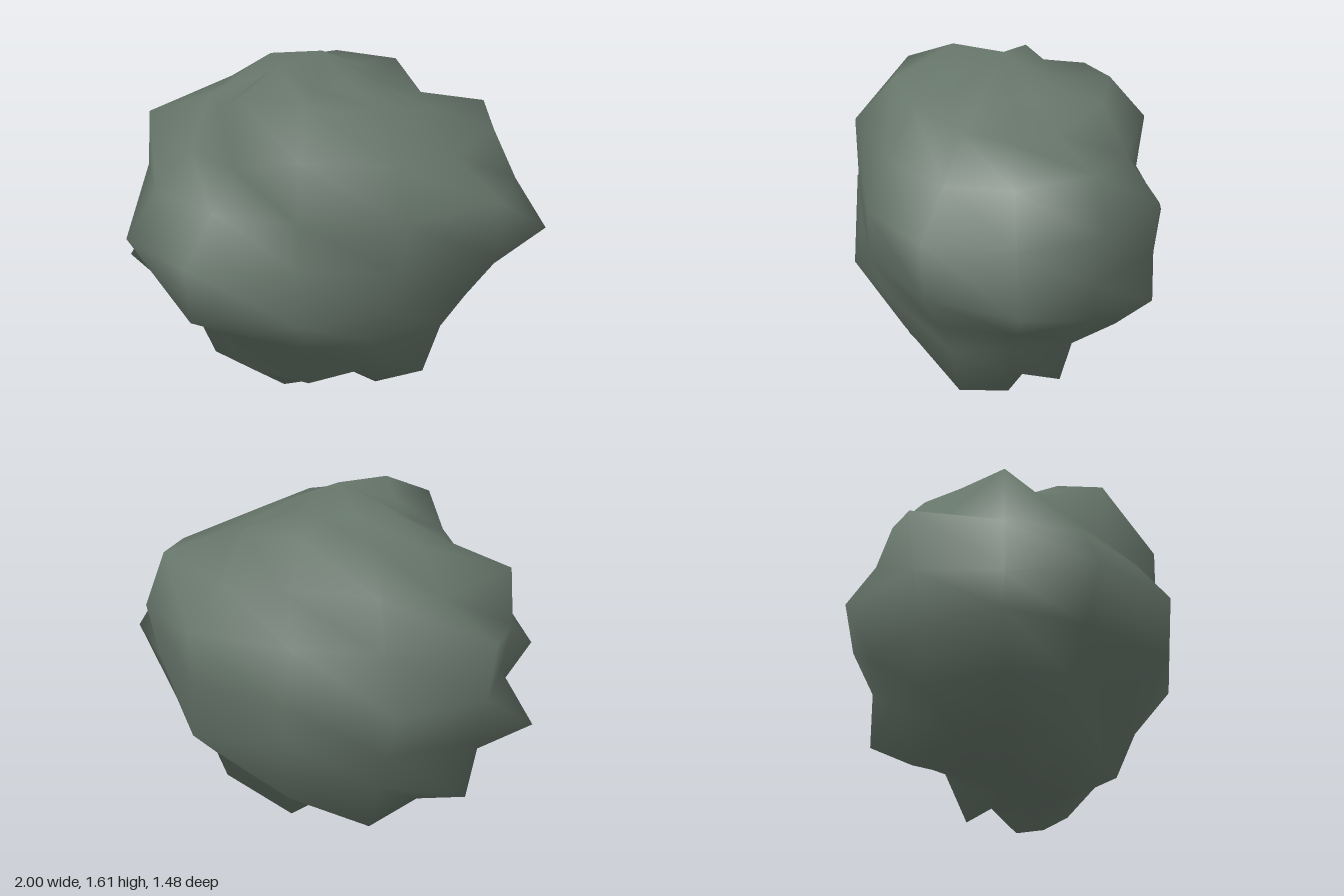
import * as THREE from 'three';
import { mergeVertices } from 'three/addons/utils/BufferGeometryUtils.js';

const SIDES = 12;
const CENTRE = new THREE.Vector3(-0.05, 0.8, 0.02);
const SCALE = new THREE.Vector3(1, 0.82, 0.815);

// Radius of the rock on each ring from top to bottom;
// each ring starts at +x and turns through +z, -x and -z
const RINGS = [
  [0.988],
  [0.88, 0.9, 0.91, 0.88, 1.03, 0.92, 0.88, 0.97, 0.92, 0.9, 0.9, 0.86],
  [0.85, 0.91, 1, 1.05, 1.05, 0.87, 0.88, 0.92, 0.98, 1.025, 1.01, 0.86],
  [0.977, 0.9, 0.95, 1.04, 0.79, 0.81, 1.013, 0.83, 0.95, 1, 0.92, 1.04],
  [0.945, 1.04, 0.94, 0.88, 0.86, 0.87, 0.88, 1.045, 0.9, 0.81, 0.99, 0.985],
  [1.05, 0.97, 0.89, 0.83, 1.01, 0.98, 0.79, 0.95, 1.02, 0.933, 0.92, 0.88],
  [0.84, 0.85, 0.83, 0.93, 1.03, 0.87, 1, 0.9, 0.92, 0.85, 0.975, 0.85],
  [0.78, 0.84, 0.85, 0.86, 0.85, 0.81, 0.86, 1.04, 0.9, 1, 0.88, 0.82],
  [0.87, 1, 0.9, 0.975, 0.95, 0.96, 0.88, 0.92, 1.03, 0.82, 0.8, 0.96],
  [1.025, 1.025, 0.9, 0.96, 1.02, 0.9, 0.88, 0.88, 0.88, 0.88, 1.02, 0.9],
  [0.87],
];

export function createModel() {
  const group = new THREE.Group();
  const stone = new THREE.MeshStandardMaterial({ color: 0x66756a });
  stone.name = 'mossy grey stone';

  // Coarse sphere, each corner pushed in or out along its own direction
  const sphere = new THREE.SphereGeometry(1, SIDES, RINGS.length - 1);
  const pos = sphere.attributes.position;
  const corner = new THREE.Vector3();
  RINGS.forEach((ring, row) => {
    for (let col = 0; col <= SIDES; col++) {
      const i = row * (SIDES + 1) + col;
      // the sphere's columns start at -x and turn the other way
      const step = (SIDES * 1.5 - col) % SIDES;
      corner.fromBufferAttribute(pos, i)
        .multiplyScalar(ring[step % ring.length])
        .multiply(SCALE)
        .add(CENTRE);
      pos.setXYZ(i, corner.x, corner.y, corner.z);
    }
  });

  // Join the seam so the shading is smooth all round
  sphere.deleteAttribute('uv');
  sphere.deleteAttribute('normal');
  const rock = mergeVertices(sphere, 0.001);
  rock.computeVertexNormals();

  const boulder = new THREE.Mesh(rock, stone);
  boulder.name = 'boulder';
  group.add(boulder);
  return group;
}
